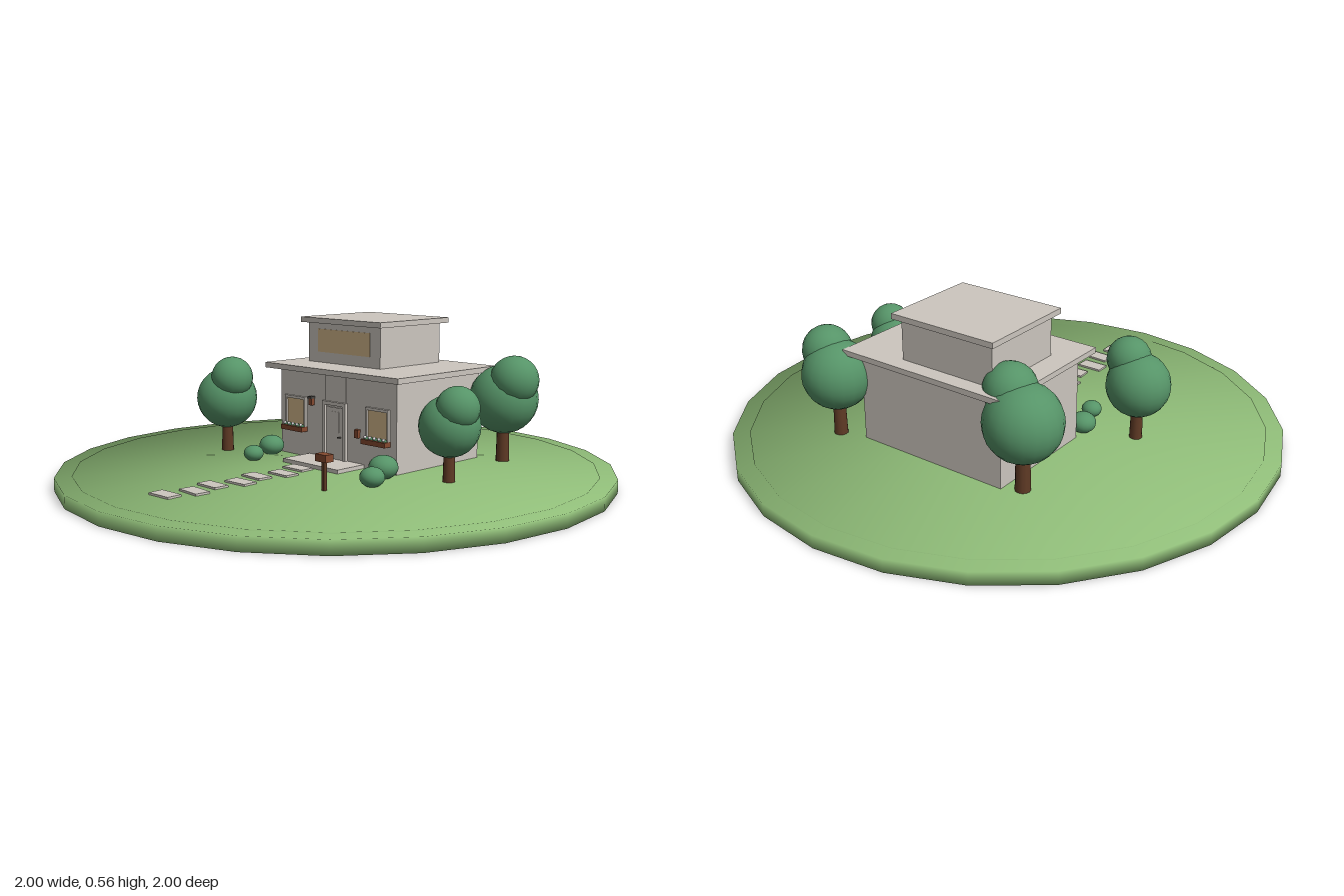
import * as THREE from 'three';

const mat = (name, color) => {
  const m = new THREE.MeshStandardMaterial({ color });
  m.name = name;
  return m;
};

export function createModel() {
  const root = new THREE.Group();
  root.name = 'houseInGarden';
  const grass = mat('grass', 0x8fbc78);
  const stone = mat('stone', 0xccc6be);
  const glass = mat('warmGlass', 0xd3b78c);
  const leaf = mat('leaf', 0x569468);
  const bark = mat('bark', 0x5f3a25);
  const wood = mat('wood', 0x84492f);
  const dark = mat('darkMetal', 0x4a4744);
  const petal = mat('petal', 0xe4dfe4);

  const add = (name, geo, material, x = 0, y = 0, z = 0, parent = root) => {
    const m = new THREE.Mesh(geo, material);
    m.name = name;
    m.position.set(x, y, z);
    parent.add(m);
    return m;
  };
  // Box given by its limits on each axis
  const box = (name, material, x0, x1, y0, y1, z0, z1, parent) =>
    add(name, new THREE.BoxGeometry(x1 - x0, y1 - y0, z1 - z0), material,
      (x0 + x1) / 2, (y0 + y1) / 2, (z0 + z1) / 2, parent);

  // Lawn: two stacked discs, softly shaded across the rim
  const disc = (name, r, y0, y1) => {
    const g = new THREE.CylinderGeometry(r, r, y1 - y0, 24);
    const p = g.attributes.position, n = g.attributes.normal;
    for (let i = 0; i < p.count; i++) {
      n.setXYZ(i, p.getX(i) / r, Math.sign(p.getY(i)), p.getZ(i) / r);
    }
    add(name, g, grass, 0, (y0 + y1) / 2, 0);
  };
  disc('lawnBase', 1, 0, 0.047);
  disc('lawnTop', 0.94, 0.02, 0.05);

  // House body, tower and flat roofs
  const house = new THREE.Group();
  house.name = 'house';
  root.add(house);
  box('walls', stone, -0.3, 0.3, 0.045, 0.375, -0.445, 0, house);
  box('mainRoof', stone, -0.343, 0.343, 0.375, 0.395, -0.49, 0.043, house);
  box('towerWalls', stone, -0.257, 0.12, 0.395, 0.545, -0.43, -0.105, house);
  box('towerRoof', stone, -0.28, 0.14, 0.545, 0.565, -0.457, -0.083, house);
  box('towerWindow', glass, -0.205, 0.068, 0.435, 0.522, -0.106, -0.102, house);

  // Door with tall surround
  box('doorSurround', stone, -0.055, 0.055, 0.05, 0.375, 0, 0.004, house);
  for (const s of [-1, 1]) {
    box('doorJamb', stone, s * 0.053 - 0.007, s * 0.053 + 0.007, 0.05, 0.27, 0, 0.014, house);
  }
  box('doorLintel', stone, -0.06, 0.06, 0.262, 0.275, 0, 0.014, house);
  box('door', stone, -0.04, 0.04, 0.062, 0.255, 0.002, 0.009, house);
  box('doorPanel', stone, -0.025, 0.025, 0.165, 0.24, 0.009, 0.011, house);
  box('doorHandle', dark, 0.022, 0.034, 0.145, 0.15, 0.009, 0.016, house);

  // Front windows with frames and flower boxes
  for (const s of [-1, 1]) {
    const w = new THREE.Group();
    w.name = 'frontWindow';
    w.position.x = s * 0.213;
    house.add(w);
    box('pane', glass, -0.048, 0.048, 0.165, 0.265, 0, 0.003, w);
    for (const t of [-1, 1]) {
      box('frameSide', stone, t * 0.052 - 0.004, t * 0.052 + 0.004, 0.16, 0.275, 0, 0.01, w);
    }
    box('frameTop', stone, -0.056, 0.056, 0.265, 0.275, 0, 0.01, w);
    box('flowerBox', wood, -0.058, 0.058, 0.145, 0.163, 0, 0.03, w);
    for (let i = 0; i < 5; i++) {
      add('flowerStem', new THREE.SphereGeometry(0.009, 8, 6), leaf, -0.044 + i * 0.022, 0.164, 0.016, w);
      add('flower', new THREE.SphereGeometry(0.006, 8, 6), petal, -0.044 + i * 0.022, 0.17, 0.021, w);
    }
  }

  // Wall lamp and letter box beside the door
  box('wallLamp', wood, -0.13, -0.114, 0.25, 0.275, 0, 0.016, house);
  box('lampCap', dark, -0.132, -0.112, 0.275, 0.283, 0, 0.019, house);
  box('letterBox', wood, 0.106, 0.124, 0.158, 0.188, 0, 0.014, house);

  // Porch slab and stepping stones
  box('porch', stone, -0.143, 0.143, 0.045, 0.064, 0, 0.132);
  for (let i = 0; i < 7; i++) {
    const s = add('steppingStone', new THREE.BoxGeometry(0.098, 0.012, 0.055), stone,
      i % 2 ? 0.014 : -0.015, 0.051, 0.175 + i * 0.095);
    s.rotation.y = [0.03, 0, -0.04, 0.06, 0, -0.06, 0.06][i];
  }

  // Small post box by the path
  box('postBoxPole', bark, 0.283, 0.295, 0.045, 0.148, 0.327, 0.339);
  box('postBox', wood, 0.264, 0.314, 0.147, 0.172, 0.315, 0.35);

  // Trees: trunk x, z, crown [y, r], side crown [x, y, z, r]
  const ball = (name, r, x, y, z, flat = 1, parent = root) => {
    add(name, new THREE.SphereGeometry(r, 20, 14), leaf, x, y, z, parent).scale.y = flat;
  };
  const trees = [
    [-0.467, 0.132, 0.255, 0.115, -0.418, 0.338, 0.145, 0.079],
    [-0.36, -0.405, 0.295, 0.135, -0.295, 0.386, -0.385, 0.092],
    [0.4, -0.468, 0.28, 0.126, 0.455, 0.355, -0.455, 0.089],
    [0.487, -0.058, 0.24, 0.106, 0.53, 0.306, -0.047, 0.075],
  ];
  for (const [x, z, y, r, x2, y2, z2, r2] of trees) {
    const tree = new THREE.Group();
    tree.name = 'tree';
    root.add(tree);
    const h = y - 0.045;
    add('trunk', new THREE.CylinderGeometry(r * 0.16, r * 0.2, h, 12), bark, x, 0.045 + h / 2, z, tree);
    ball('crown', r, x, y, z, 1, tree);
    ball('sideCrown', r2, x2, y2, z2, 1, tree);
  }

  // Bushes by the porch
  const bushes = [[-0.29, 0.06, 0.047], [-0.247, 0.185, 0.037], [0.295, 0.06, 0.052], [0.353, 0.175, 0.043]];
  for (const [x, z, r] of bushes) ball('bush', r, x, 0.046 + r * 0.8, z, 0.8);

  return root;
}
